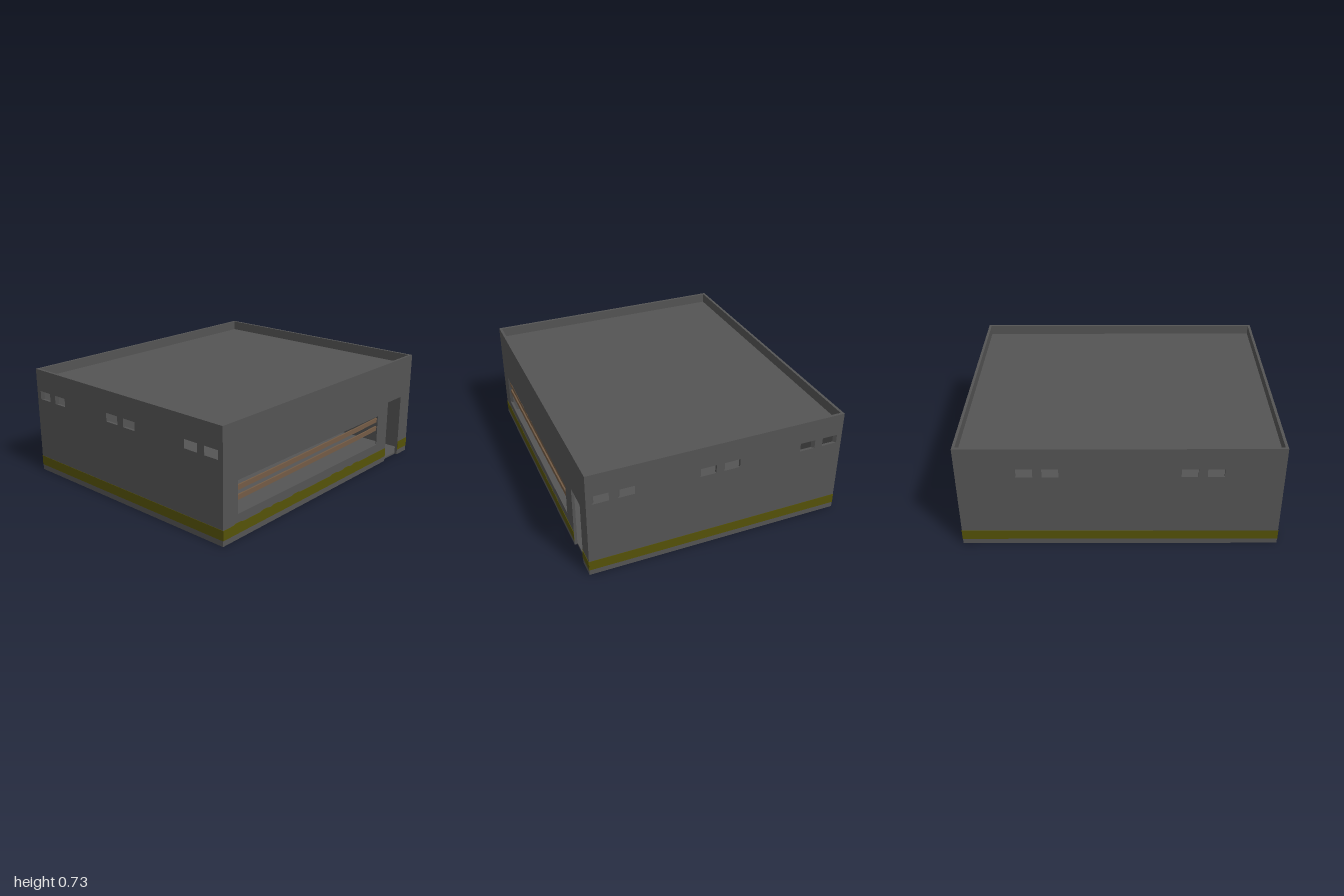
import * as THREE from 'three';

const W = 1.69, D = 2, H = 0.725, T = 0.018;

export function createModel() {
  const concrete = new THREE.MeshStandardMaterial({ name: 'concrete grey', color: 0x545454 });
  const olive = new THREE.MeshStandardMaterial({ name: 'olive band', color: 0x555208 });
  const wood = new THREE.MeshStandardMaterial({ name: 'plank brown', color: 0x735b45 });

  const model = new THREE.Group();
  model.name = 'bunker';

  const polygon = (points) => new THREE.Shape(points.map(([x, y]) => new THREE.Vector2(x, y)));
  const rect = (a, b, y0, y1) => [[a, y0], [b, y0], [b, y1], [a, y1]];
  const extrude = (shape, depth) => new THREE.ExtrudeGeometry(shape, { depth, bevelEnabled: false });

  function add(parent, name, geometry, material, x = 0, y = 0, z = 0) {
    const mesh = new THREE.Mesh(geometry, material);
    mesh.name = name;
    mesh.position.set(x, y, z);
    parent.add(mesh);
    return mesh;
  }

  // One wall: x along it, outer face at z = T. Openings slant through its depth.
  function addWall(name, outline, openings, slant, angle, distance) {
    const side = new THREE.Group();
    side.name = name + 'Side';
    side.rotation.y = angle;
    side.position.set(Math.sin(angle) * (distance - T), 0, Math.cos(angle) * (distance - T));
    const shape = polygon(outline);
    for (const o of openings) shape.holes.push(polygon(rect(...o).reverse()));
    const geometry = extrude(shape, T);
    const p = geometry.attributes.position;
    for (let i = 0; i < p.count; i++) {
      const x = p.getX(i), y = p.getY(i);
      const onOpening = openings.some(([a, b, y0, y1]) =>
        x > a - 1e-4 && x < b + 1e-4 && y > y0 - 1e-4 && y < y1 + 1e-4);
      if (onOpening && p.getZ(i) < T / 2) p.setX(i, x + slant(x));
    }
    geometry.computeVertexNormals();
    add(side, name + 'Wall', geometry, concrete);
    model.add(side);
    return side;
  }

  function addBand(side, points) {
    add(side, 'paintedBand', extrude(polygon(points), 0.002), olive, 0, 0, T);
  }

  // Firing slits come in pairs
  const slitPair = (c) => [[c - 0.131, c - 0.027, 0.52, 0.577], [c + 0.027, c + 0.131, 0.52, 0.577]];
  const slitsWide = [-0.679, 0, 0.679].flatMap(slitPair);
  const slitsSide = [-0.503, 0.503].flatMap(slitPair);
  const inward = (x) => (Math.abs(x) > 0.4 ? -Math.sign(x) * 0.017 : 0);
  const straight = () => 0;

  // Front, back and left-hand plain walls
  const full = rect(-W / 2, W / 2, 0, H);
  const sideHalf = D / 2 - T;
  const front = addWall('front', full, slitsWide, inward, 0, D / 2);
  const back = addWall('back', full, slitsWide, inward, Math.PI, D / 2);
  const plain = addWall('plain', rect(-sideHalf, sideHalf, 0, H), slitsSide, straight, -Math.PI / 2, W / 2);
  for (const side of [front, back]) addBand(side, rect(-W / 2, W / 2, 0.037, 0.102));
  addBand(plain, rect(-D / 2, D / 2, 0.037, 0.102));

  // Entrance wall: doorway notch and one long viewing slot
  const door = [0.71, 0.88], doorTop = 0.44;
  const entrance = addWall('entrance', [
    [-sideHalf, 0], [door[0], 0], [door[0], doorTop], [door[1], doorTop],
    [door[1], 0], [sideHalf, 0], [sideHalf, H], [-sideHalf, H],
  ], [[-0.875, 0.585, 0.16, 0.37]], () => 0.02, Math.PI / 2, W / 2);

  // Band with small uneven bumps on its upper edge, broken by the doorway
  const bumps = [-0.87, -0.63, -0.53, -0.33, 0.08, 0.22, 0.33];
  const top = bumps.flatMap((b) => [
    [b - 0.045, 0.1], [b - 0.02, 0.107], [b + 0.02, 0.107], [b + 0.045, 0.1],
  ]);
  addBand(entrance, [[-D / 2, 0.037], [door[0], 0.037], [door[0], 0.1], ...top.reverse(), [-D / 2, 0.1]]);
  addBand(entrance, rect(door[1], D / 2, 0.037, 0.1));

  // Slightly crooked planks across the slot
  const bend = [[-0.865, 0], [-0.6, 0.002], [-0.2, 0.007], [0.1, 0.012], [0.35, 0.015], [0.59, 0.021]];
  for (const base of [0.241, 0.302]) {
    const lower = bend.map(([x, y]) => [x, base + y]);
    const upper = bend.map(([x, y]) => [x, base + y + 0.031]).reverse();
    add(entrance, 'plank', extrude(polygon([...lower, ...upper]), 0.01), wood, 0, 0, -0.002);
  }

  // Floor slab and roof sunk behind the parapet
  const slab = (h) => new THREE.BoxGeometry(W - 2 * T, h, D - 2 * T);
  add(model, 'floor', slab(0.012), concrete, 0, 0.006, 0);
  add(model, 'roof', slab(0.03), concrete, 0, 0.645, 0);

  return model;
}
